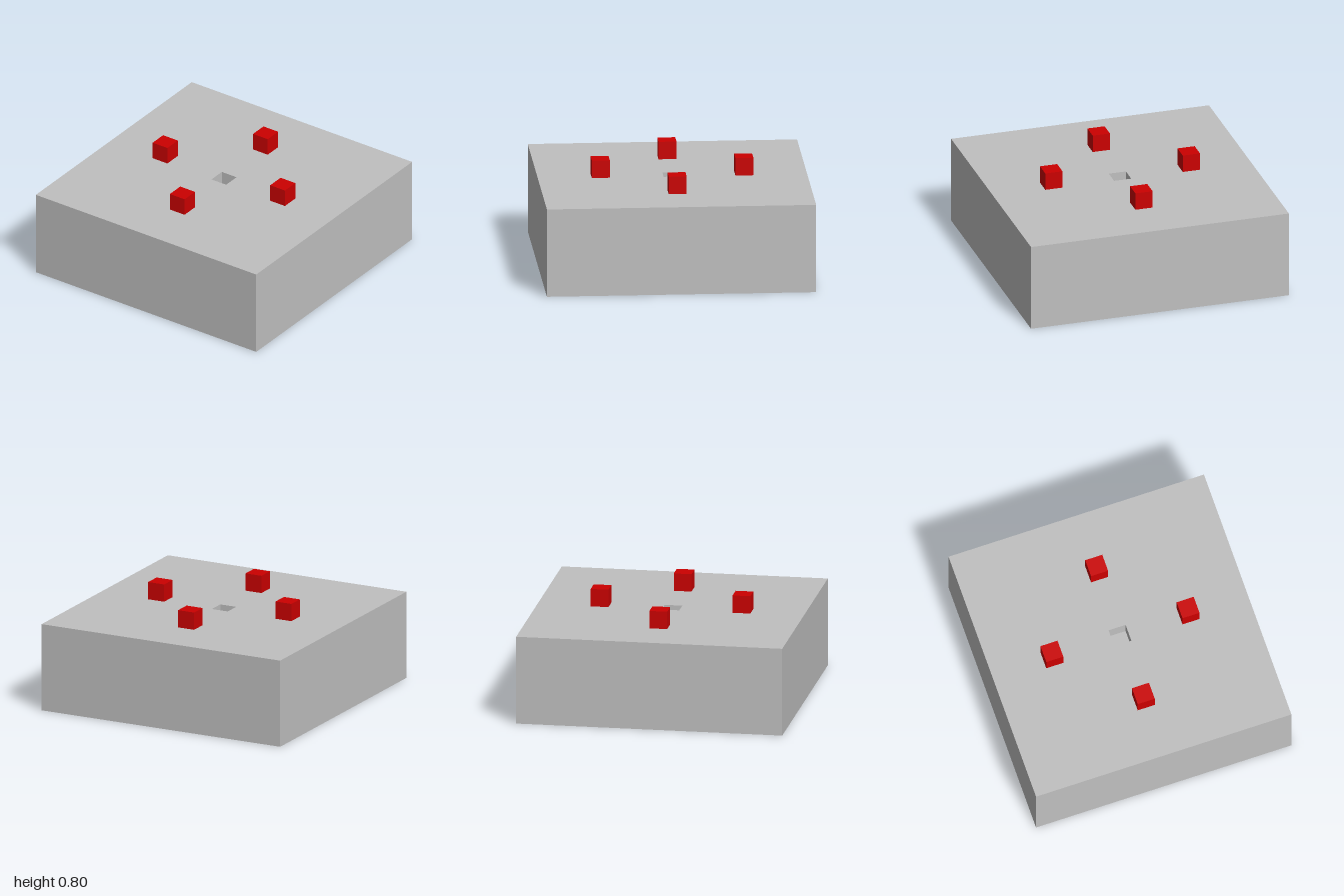
import * as THREE from 'three';

const UNIT = 2 / 15; // edge of one small cube
const SLAB_HEIGHT = 5 * UNIT;

// Box without its top face; inward turns the faces to look inside
function openBox(width, height, inward = false) {
  const geometry = new THREE.BoxGeometry(width, height, width);
  const index = Array.from(geometry.index.array);
  index.splice(12, 6); // the +y face
  if (inward) index.reverse();
  geometry.setIndex(index);
  geometry.clearGroups();
  geometry.computeVertexNormals();
  return geometry;
}

function squarePath(path, half) {
  path.moveTo(-half, -half);
  path.lineTo(half, -half);
  path.lineTo(half, half);
  path.lineTo(-half, half);
  path.closePath();
  return path;
}

export function createModel() {
  const model = new THREE.Group();
  model.name = 'slabWithCubes';

  const grey = new THREE.MeshStandardMaterial({ color: 0xc0c0c0 });
  grey.name = 'grey';
  const red = new THREE.MeshStandardMaterial({ color: 0xcc0000 });
  red.name = 'red';

  const add = (name, geometry, material, x, y, z) => {
    const mesh = new THREE.Mesh(geometry, material);
    mesh.name = name;
    mesh.position.set(x, y, z);
    model.add(mesh);
  };

  // Sides and underside of the slab
  add('slabBody', openBox(2, SLAB_HEIGHT), grey, 0, SLAB_HEIGHT / 2, 0);

  // Top surface with a square opening in the middle
  const topShape = squarePath(new THREE.Shape(), 1);
  topShape.holes.push(squarePath(new THREE.Path(), UNIT / 2));
  const topGeometry = new THREE.ShapeGeometry(topShape).rotateX(-Math.PI / 2);
  add('slabTop', topGeometry, grey, 0, SLAB_HEIGHT, 0);

  // Walls and floor of the pit, one cube deep
  add('centrePit', openBox(UNIT, UNIT, true), grey, 0, SLAB_HEIGHT - UNIT / 2, 0);

  // Four cubes around the pit
  const cube = new THREE.BoxGeometry(UNIT, UNIT, UNIT);
  const reach = 4 * UNIT;
  const spots = { leftCube: [1, 0], rightCube: [-1, 0], frontCube: [0, 1], backCube: [0, -1] };
  for (const [name, [x, z]] of Object.entries(spots)) {
    add(name, cube, red, x * reach, SLAB_HEIGHT + UNIT / 2, z * reach);
  }

  return model;
}
